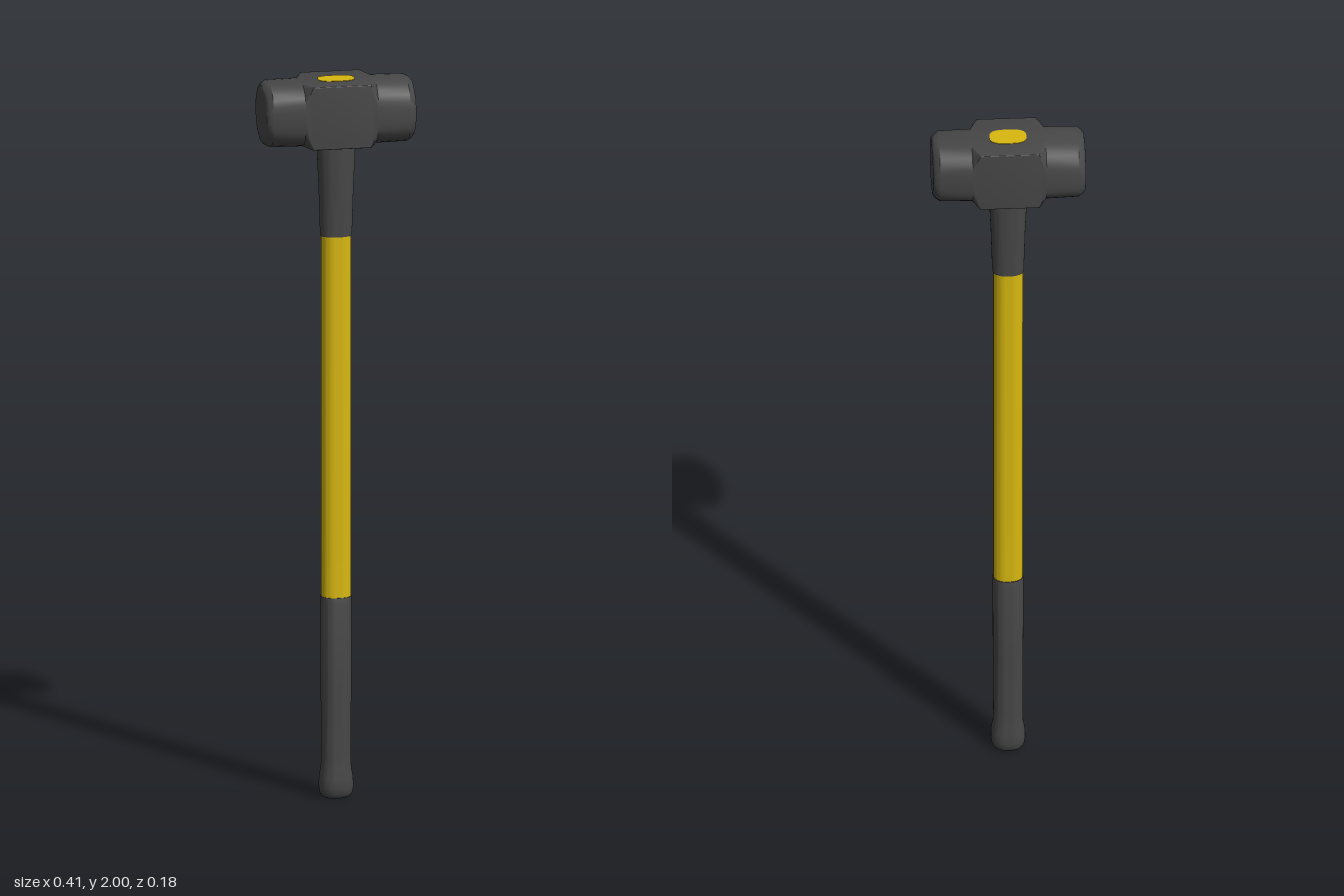
import * as THREE from 'three';
import { toCreasedNormals } from 'three/addons/utils/BufferGeometryUtils.js';

const TAU = Math.PI * 2;

// Closed skin over equal-length rings, each turning anticlockwise about the direction of travel
function loft(rings, crease) {
  const n = rings[0].length;
  const points = rings.flat();
  const index = [];
  for (let i = 0; i < rings.length - 1; i++) {
    for (let j = 0; j < n; j++) {
      const a = i * n + j, b = i * n + (j + 1) % n;
      index.push(a, b, b + n, a, b + n, a + n);
    }
  }
  // End caps
  const last = (rings.length - 1) * n;
  const centre = (ring) => ring.reduce((s, p) => s.add(p), new THREE.Vector3()).divideScalar(n);
  const c0 = points.push(centre(rings[0])) - 1;
  const c1 = points.push(centre(rings[rings.length - 1])) - 1;
  for (let j = 0; j < n; j++) {
    const k = (j + 1) % n;
    index.push(c0, k, j, c1, last + j, last + k);
  }
  const geometry = new THREE.BufferGeometry().setFromPoints(points);
  geometry.setIndex(index);
  return toCreasedNormals(geometry, crease);
}

// Rounded oval ring lying flat at height y
function ovalRing([y, rx, rz], power = 2.4, n = 40) {
  const bulge = (v) => Math.sign(v) * Math.abs(v) ** (2 / power);
  return Array.from({ length: n }, (_, j) => {
    const a = (j / n) * TAU;
    return new THREE.Vector3(rx * bulge(Math.sin(a)), y, rz * bulge(Math.cos(a)));
  });
}

// Square ring with round corners, standing across the head at x
function headRing([x, half, corner]) {
  const ring = [];
  const steps = 6;
  for (let q = 0; q < 4; q++) {
    const mid = (q + 0.5) * TAU / 4;
    const cy = Math.sign(Math.cos(mid)) * (half - corner);
    const cz = Math.sign(Math.sin(mid)) * (half - corner);
    for (let s = 0; s <= steps; s++) {
      const a = (q + s / steps) * TAU / 4;
      ring.push(new THREE.Vector3(x, (cy + corner * Math.cos(a)) * 0.975, cz + corner * Math.sin(a)));
    }
  }
  return ring;
}

export function createModel() {
  const group = new THREE.Group();
  const grey = new THREE.MeshStandardMaterial({ name: 'dark grey', color: 0x474747 });
  const yellow = new THREE.MeshStandardMaterial({ name: 'yellow', color: 0xd8b810 });

  const add = (name, geometry, material) => {
    const mesh = new THREE.Mesh(geometry, material);
    mesh.name = name;
    group.add(mesh);
    return mesh;
  };
  const addOval = (name, profile, material, power) =>
    add(name, loft(profile.map((p) => ovalRing(p, power)), 0.9), material);

  // Head: square middle, barrel-like cheeks, round striking faces
  const side = [
    [0.08, 0.09, 0.003],
    [0.1, 0.09, 0.066],
    [0.188, 0.09, 0.072],
    [0.2, 0.086, 0.08],
    [0.206, 0.08, 0.0795],
    [0.207, 0.074, 0.0735],
  ];
  const stations = [...side.map(([x, h, r]) => [-x, h, r]).reverse(), ...side];
  add('hammerHead', loft(stations.map(headRing), 0.5), grey).position.y = 1.911;

  // End of the shaft showing through the top of the head
  addOval('shaftEnd', [[1.98, 0.05, 0.033], [2.0, 0.05, 0.033]], yellow, 3);

  // Flared collar under the head
  addOval('collar', [
    [1.565, 0.043, 0.037],
    [1.6, 0.044, 0.038],
    [1.7, 0.047, 0.042],
    [1.81, 0.052, 0.047],
    [1.83, 0.052, 0.047],
  ], grey);

  // Shaft
  addOval('shaft', [[0.55, 0.04, 0.035], [1.58, 0.04, 0.035]], yellow);

  // Grip with a swollen, rounded butt
  addOval('grip', [
    [0, 0.03, 0.026],
    [0.004, 0.038, 0.033],
    [0.013, 0.044, 0.038],
    [0.03, 0.047, 0.041],
    [0.055, 0.046, 0.041],
    [0.085, 0.041, 0.038],
    [0.12, 0.04, 0.037],
    [0.3, 0.041, 0.039],
    [0.545, 0.042, 0.04],
    [0.56, 0.041, 0.037],
  ], grey);

  return group;
}
